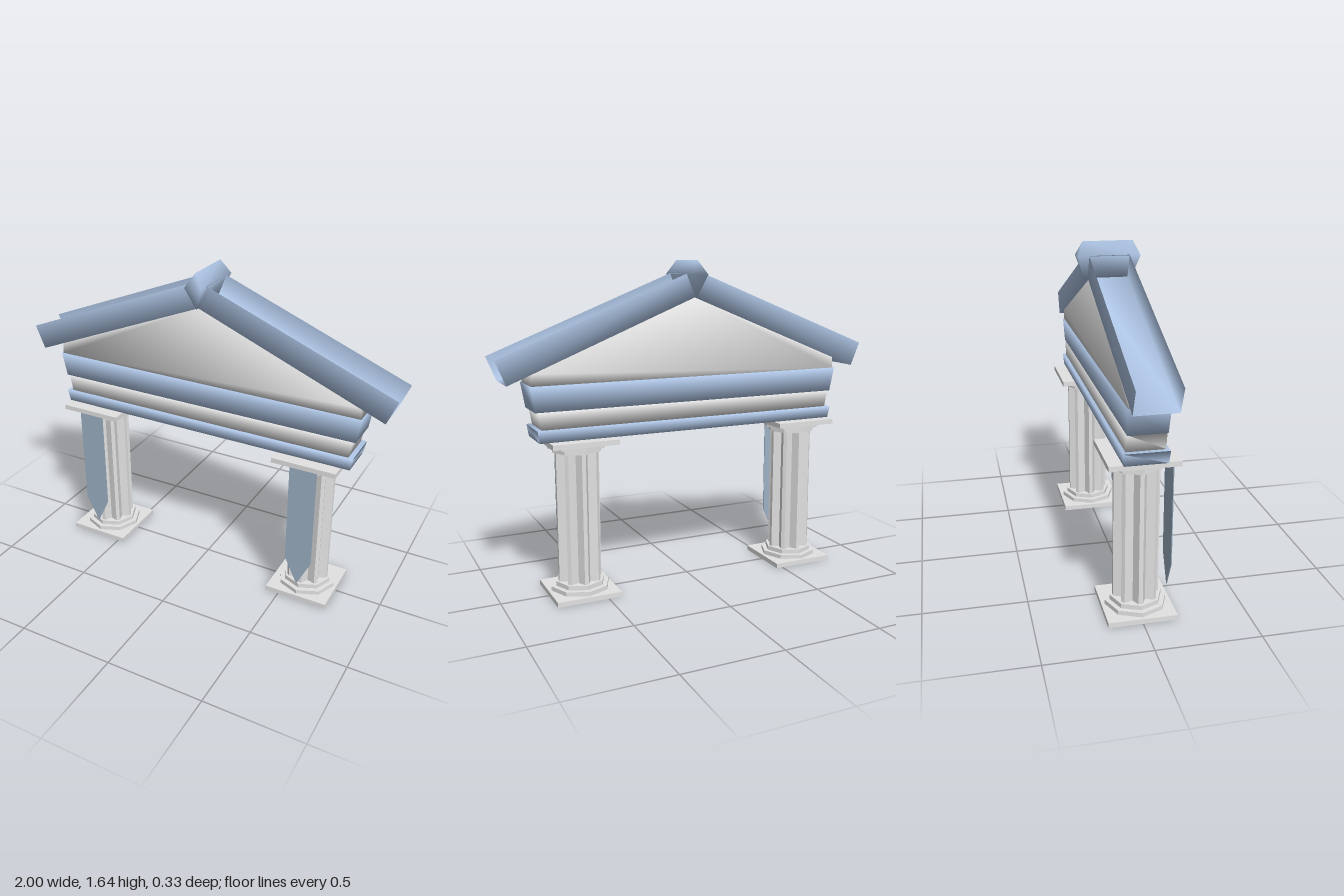
import * as THREE from 'three';
import { mergeVertices } from 'three/addons/utils/BufferGeometryUtils.js';
import { ConvexGeometry } from 'three/addons/geometries/ConvexGeometry.js';

const stone = new THREE.MeshStandardMaterial({ name: 'pale stone', color: 0xe2e2e2 });
const blue = new THREE.MeshStandardMaterial({ name: 'painted blue', color: 0xafc6e6 });
const blueSheet = new THREE.MeshStandardMaterial({ name: 'roof blue', color: 0xafc6e6, side: THREE.DoubleSide });
const cloth = new THREE.MeshStandardMaterial({ name: 'banner cloth', color: 0x9cb0c4 });

function part(parent, name, geometry, material, x = 0, y = 0, z = 0) {
  const mesh = new THREE.Mesh(geometry, material);
  mesh.name = name;
  mesh.position.set(x, y, z);
  parent.add(mesh);
  return mesh;
}

// Shares corners so that shading flows softly over the edges
function soften(geometry) {
  geometry.deleteAttribute('normal');
  geometry.deleteAttribute('uv');
  const merged = mergeVertices(geometry, 1e-4);
  merged.computeVertexNormals();
  return merged;
}

function faceted(geometry) {
  const flat = geometry.toNonIndexed();
  flat.computeVertexNormals();
  return flat;
}

// Straight beam that widens from bottom to top
function flaredBeam(y0, y1, x0, x1, z0, z1) {
  const points = [];
  for (const [y, x, z] of [[y0, x0, z0], [y1, x1, z1]])
    for (const sx of [-1, 1]) for (const sz of [-1, 1])
      points.push(new THREE.Vector3(sx * x, y, sz * z));
  return soften(new ConvexGeometry(points));
}

function extrude(points, depth) {
  const shape = new THREE.Shape(points.map(([x, y]) => new THREE.Vector2(x, y)));
  return new THREE.ExtrudeGeometry(shape, { depth, bevelEnabled: false });
}

// Eight-ribbed shaft with V-shaped flutes
function shaftGeometry(height) {
  const section = [];
  for (let i = 0; i < 8; i++) {
    const a = (i * Math.PI) / 4;
    for (const [r, da] of [[0.11, -0.09], [0.11, 0.09], [0.078, Math.PI / 8]])
      section.push([r * Math.cos(a + da), r * Math.sin(a + da)]);
  }
  return extrude(section, height).rotateX(-Math.PI / 2);
}

function column(x, name) {
  const group = new THREE.Group();
  group.name = name;
  group.position.x = x;
  part(group, 'plinth', new THREE.BoxGeometry(0.33, 0.025, 0.33), stone, 0, 0.0125);
  part(group, 'abacus', new THREE.BoxGeometry(0.33, 0.025, 0.33), stone, 0, 0.7875);
  // Octagonal steps, mirrored at foot and head
  for (const [r, y] of [[0.15, 0.035], [0.125, 0.058]]) {
    const step = faceted(new THREE.CylinderGeometry(r, r, 0.024, 8));
    part(group, 'baseStep', step, stone, 0, y);
    part(group, 'capitalStep', step, stone, 0, 0.8 - y);
  }
  part(group, 'flutedShaft', shaftGeometry(0.67), stone, 0, 0.065);
  // Hanging pointed banner in front
  const banner = [[-0.07, 0.775], [-0.07, 0.24], [0, 0.095], [0.07, 0.24], [0.07, 0.775]];
  part(group, 'banner', extrude(banner, 0.004), cloth, 0, 0, 0.153);
  return group;
}

// Sloping roof trim: floor, two side walls and the inner end, open above
function roofTrim(side) {
  const z = 0.1;
  const outline = [[0, 1.465], [0.95, 1.08], [1, 1.2], [0.045, 1.58]];
  const positions = [];
  for (const sz of [z, -z]) for (const [x, y] of outline) positions.push(side * x, y, sz);
  const quads = [[0, 1, 2, 3], [5, 4, 7, 6], [4, 5, 1, 0], [4, 0, 3, 7]];
  const index = [];
  for (const [a, b, c, d] of quads)
    index.push(...(side > 0 ? [a, b, c, a, c, d] : [a, c, b, a, d, c]));
  const geometry = new THREE.BufferGeometry();
  geometry.setAttribute('position', new THREE.Float32BufferAttribute(positions, 3));
  geometry.setIndex(index);
  geometry.computeVertexNormals();
  return geometry;
}

export function createModel() {
  const model = new THREE.Group();
  model.name = 'templeGate';

  model.add(column(0.595, 'leftColumn'), column(-0.63, 'rightColumn'));

  // Stacked beams over the columns
  part(model, 'architrave', flaredBeam(0.8, 0.86, 0.805, 0.815, 0.1, 0.105), blue);
  part(model, 'frieze', flaredBeam(0.86, 0.945, 0.79, 0.805, 0.09, 0.09), stone);
  part(model, 'cornice', flaredBeam(0.945, 1.07, 0.82, 0.84, 0.09, 0.097), blue);

  // Gable wall
  const gable = [[-0.835, 1.07], [0.835, 1.07], [0.83, 1.128], [0, 1.464], [-0.83, 1.128]];
  part(model, 'pediment', soften(extrude(gable, 0.18)), stone, 0, 0, -0.09);

  part(model, 'leftRoofTrim', roofTrim(1), blueSheet);
  part(model, 'rightRoofTrim', roofTrim(-1), blueSheet);

  // Diamond-section ridge block with pointed ends
  const ridge = [];
  for (const [x, y, z] of [[0, 1.645, 0.125], [0.045, 1.575, 0.155], [-0.045, 1.575, 0.155], [0, 1.465, 0.12]])
    ridge.push(new THREE.Vector3(x, y, z), new THREE.Vector3(x, y, -z));
  part(model, 'ridgeBlock', soften(new ConvexGeometry(ridge)), blue);

  return model;
}
